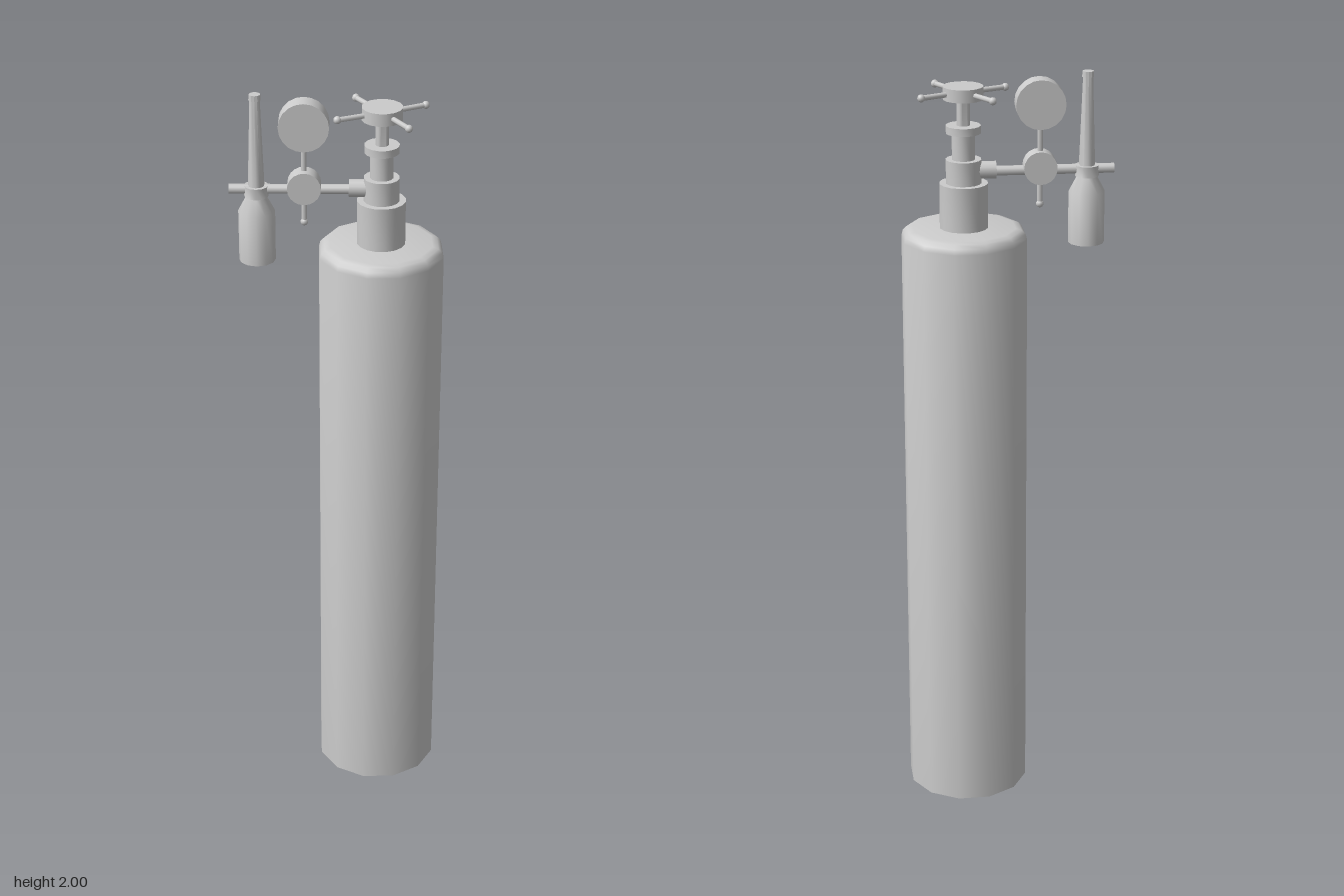
import * as THREE from 'three';
import { toCreasedNormals } from 'three/addons/utils/BufferGeometryUtils.js';

const material = new THREE.MeshStandardMaterial({ color: 0xcccccc });

function add(parent, name, geometry, x = 0, y = 0, z = 0) {
  const mesh = new THREE.Mesh(geometry, material);
  mesh.name = name;
  mesh.position.set(x, y, z);
  parent.add(mesh);
  return mesh;
}

// Turned part from [radius, height] pairs, bottom to top
function turned(profile, sides) {
  const points = profile.map(([r, y]) => new THREE.Vector2(r, y));
  return toCreasedNormals(new THREE.LatheGeometry(points, sides), 0.85);
}

// Rod along local x between two positions
function rodX(parent, name, x0, x1, y, radius, sides = 10) {
  const rod = add(parent, name, new THREE.CylinderGeometry(radius, radius, Math.abs(x1 - x0), sides), (x0 + x1) / 2, y, 0);
  rod.rotation.z = Math.PI / 2;
  return rod;
}

export function createModel() {
  const model = new THREE.Group();
  model.name = 'gasCylinder';
  const assembly = new THREE.Group();
  assembly.name = 'cylinderAssembly';
  assembly.position.x = 0.11;
  model.add(assembly);

  // Tank with a rounded shoulder
  const tank = add(assembly, 'tank', turned([
    [0, 0], [0.164, 0], [0.164, 1.573], [0.16, 1.587], [0.15, 1.597], [0.135, 1.601], [0, 1.601],
  ], 12));
  tank.rotation.y = 0.126;

  // Stepped valve body and spindle
  add(assembly, 'valveBody', turned([
    [0.063, 1.595], [0.063, 1.718], [0.046, 1.718], [0.046, 1.78], [0.03, 1.78], [0.03, 1.848],
    [0.045, 1.848], [0.045, 1.868], [0.017, 1.868], [0.017, 1.94],
  ], 16));

  // Handwheel with four ball-ended spokes
  const wheel = new THREE.Group();
  wheel.name = 'handwheel';
  wheel.position.y = 1.952;
  assembly.add(wheel);
  add(wheel, 'wheelHub', new THREE.CylinderGeometry(0.052, 0.052, 0.033, 16));
  for (const degrees of [-17, 68, 166, -113]) {
    const spoke = new THREE.Group();
    spoke.name = 'wheelSpoke';
    spoke.rotation.y = -THREE.MathUtils.degToRad(degrees);
    wheel.add(spoke);
    rodX(spoke, 'spokeRod', 0.04, 0.122, 0, 0.007, 8);
    add(spoke, 'spokeBall', new THREE.SphereGeometry(0.01, 10, 8), 0.122);
  }

  // Side arm, swung slightly backwards
  const arm = new THREE.Group();
  arm.name = 'regulatorArm';
  arm.rotation.y = -0.17;
  assembly.add(arm);
  rodX(arm, 'armPipe', -0.387, -0.02, 1.747, 0.0125);
  rodX(arm, 'armFitting', -0.083, -0.025, 1.75, 0.023, 12);

  // Pressure gauge, regulator disc and their stem
  const gaugeX = -0.196;
  for (const [name, y, radius, depth] of [['gauge', 1.92, 0.064, 0.05], ['regulatorDisc', 1.755, 0.043, 0.046]]) {
    const disc = add(arm, name, new THREE.CylinderGeometry(radius, radius, depth, 20), gaugeX, y, 0);
    disc.rotation.x = Math.PI / 2;
  }
  add(arm, 'gaugeStem', new THREE.CylinderGeometry(0.007, 0.007, 0.23, 8), gaugeX, 1.77, 0);
  add(arm, 'stemBall', new THREE.SphereGeometry(0.01, 10, 8), gaugeX, 1.657, 0);

  // Flow meter: bottle below, collar, tapered tube above
  add(arm, 'flowMeter', turned([
    [0, 1.552], [0.047, 1.552], [0.047, 1.688], [0.026, 1.728], [0.031, 1.728], [0.031, 1.757],
    [0.021, 1.757], [0.013, 1.985], [0.0155, 1.985], [0.0145, 2], [0, 2],
  ], 12), -0.317);

  return model;
}
